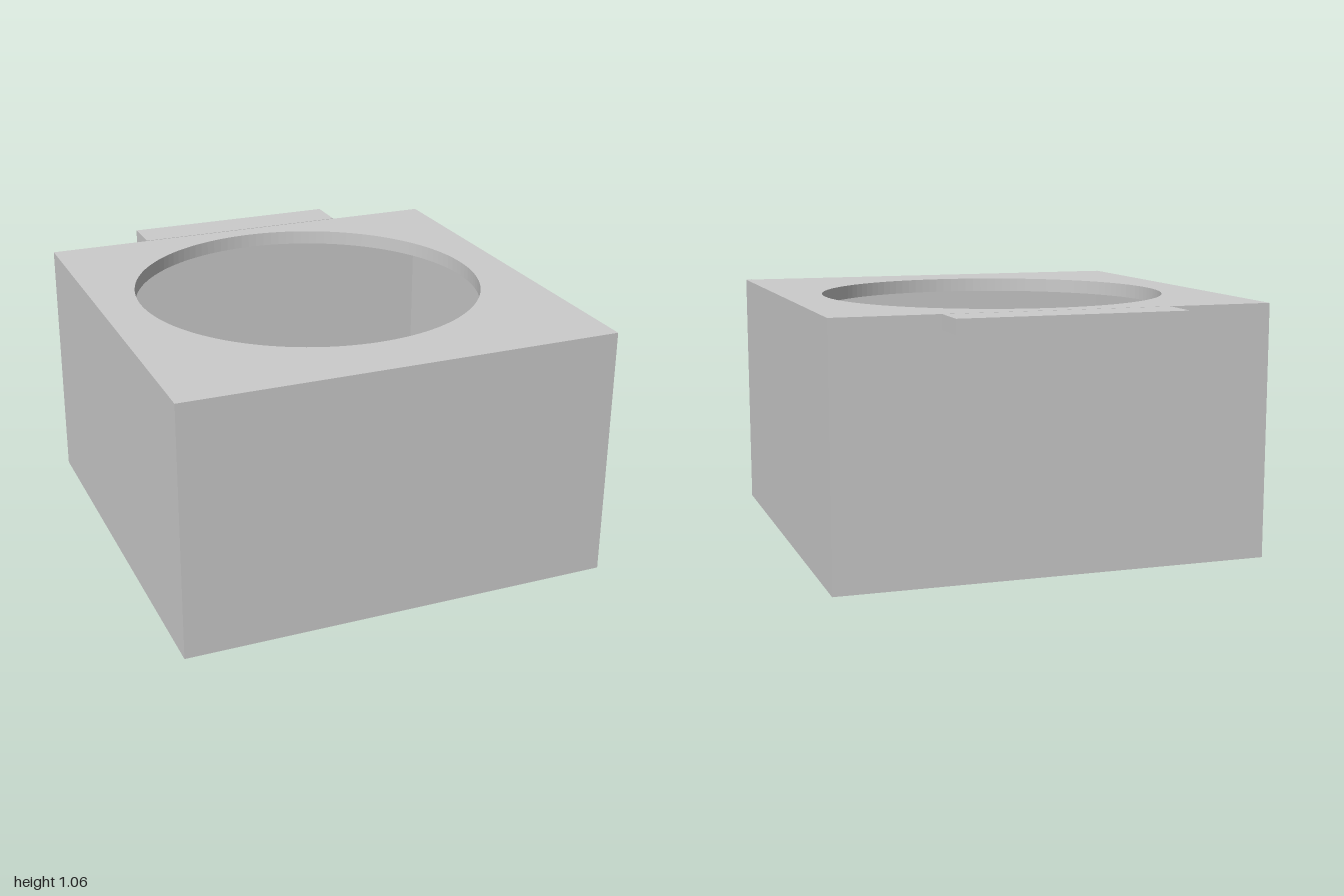
import * as THREE from 'three';

const material = new THREE.MeshStandardMaterial({ color: 0xcccccc, flatShading: true });

// Box given by its lower and upper limits on each axis
function block(name, [x0, x1], [y0, y1], [z0, z1]) {
  const mesh = new THREE.Mesh(new THREE.BoxGeometry(x1 - x0, y1 - y0, z1 - z0), material);
  mesh.position.set((x0 + x1) / 2, (y0 + y1) / 2, (z0 + z1) / 2);
  mesh.name = name;
  return mesh;
}

export function createModel() {
  const group = new THREE.Group();
  group.name = 'ventBox';

  const half = 0.91, height = 1.06, front = 1, back = -0.823;
  const wall = 0.01, plate = 0.06, holeRadius = 0.737;

  // Top plate with a round opening, resting inside the walls
  const x = half - wall, z0 = back + wall, z1 = front - wall;
  const outline = new THREE.Shape([
    new THREE.Vector2(-x, -z1), new THREE.Vector2(x, -z1),
    new THREE.Vector2(x, -z0), new THREE.Vector2(-x, -z0),
  ]);
  outline.holes.push(new THREE.Path().absarc(0, 0, holeRadius, 0, Math.PI * 2, true));
  const plateGeometry = new THREE.ExtrudeGeometry(outline, {
    depth: plate, bevelEnabled: false, curveSegments: 64,
  });
  plateGeometry.rotateX(-Math.PI / 2);
  const topPlate = new THREE.Mesh(plateGeometry, material);
  topPlate.position.y = height - plate;
  topPlate.name = 'topPlate';
  group.add(topPlate);

  // Thin outer walls, open at the bottom
  group.add(
    block('frontWall', [-half, half], [0, height], [z1, front]),
    block('backWall', [-half, half], [0, height], [back, z0]),
    block('leftWall', [x, half], [0, height], [z0, z1]),
    block('rightWall', [-half, -x], [0, height], [z0, z1]),
  );

  // Row of thin upright fins running front to back
  const fins = new THREE.Group();
  fins.name = 'fins';
  for (let i = 0; i < 15; i++) {
    const fx = 0.005 + (i - 7) * 0.118;
    fins.add(block('fin', [fx - 0.003, fx + 0.003], [0.055, 0.35], [z0, z1]));
  }
  group.add(fins);

  // Ledge at the top of the back
  group.add(block('backLedge', [-0.47, 0.47], [1.0, height], [-1, -0.828]));

  return group;
}
